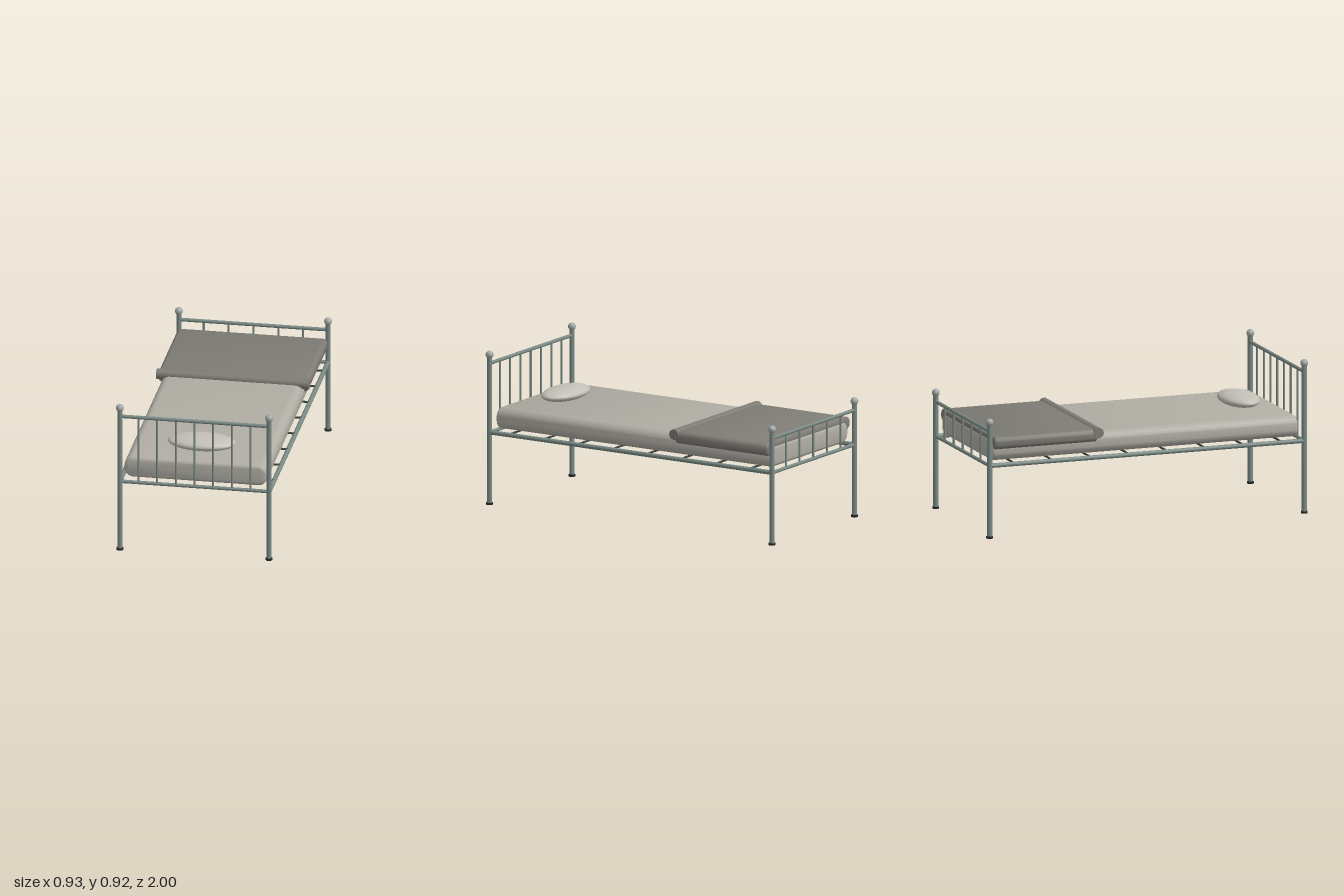
import * as THREE from 'three';
import { toCreasedNormals } from 'three/addons/utils/BufferGeometryUtils.js';

const mat = (color) => new THREE.MeshStandardMaterial({ color });
const steel = mat(0x7a8a85), knobGrey = mat(0xa3a9a6), rubber = mat(0x252525);
const slatDark = mat(0x3a3f3d), ticking = mat(0xb0ada4), wool = mat(0x7e7c75), linen = mat(0xc2bfb7);

const POST_X = 0.44, POST_Z = 0.977, RAIL_Y = 0.43;

export function createModel() {
  const bed = new THREE.Group();
  bed.name = 'bed';

  const add = (parent, name, geometry, material, x = 0, y = 0, z = 0) => {
    const mesh = new THREE.Mesh(geometry, material);
    mesh.name = name;
    mesh.position.set(x, y, z);
    parent.add(mesh);
    return mesh;
  };

  // Round bar centred at (x, y, z), lying along the given axis
  const bar = (parent, name, axis, length, r, x, y, z, material = steel) => {
    const mesh = add(parent, name, new THREE.CylinderGeometry(r, r, length, 16), material, x, y, z);
    if (axis === 'x') mesh.rotation.z = Math.PI / 2;
    if (axis === 'z') mesh.rotation.x = Math.PI / 2;
    return mesh;
  };

  // Soft slab: rounded cross-section run along z, with bevelled ends
  const softSlab = (name, halfW, y0, y1, z0, z1, r, bevel, material) => {
    const w = halfW - bevel, b = y0 + bevel, t = y1 - bevel;
    const s = new THREE.Shape();
    s.moveTo(-w + r, b);
    s.lineTo(w - r, b);
    s.absarc(w - r, b + r, r, -Math.PI / 2, 0);
    s.lineTo(w, t - r);
    s.absarc(w - r, t - r, r, 0, Math.PI / 2);
    s.lineTo(-w + r, t);
    s.absarc(-w + r, t - r, r, Math.PI / 2, Math.PI);
    s.lineTo(-w, b + r);
    s.absarc(-w + r, b + r, r, Math.PI, Math.PI * 1.5);
    const g = new THREE.ExtrudeGeometry(s, {
      depth: z1 - z0 - 2 * bevel, bevelSize: bevel, bevelThickness: bevel,
      bevelSegments: 4, curveSegments: 6,
    });
    return add(bed, name, toCreasedNormals(g, 0.6), material, 0, 0, z0 + bevel);
  };

  // End frame: two posts with knobs and feet, two rails and evenly spaced spindles
  const endFrame = (name, z, knobY, topY, spindles) => {
    const frame = new THREE.Group();
    frame.name = name;
    for (const x of [-POST_X, POST_X]) {
      bar(frame, 'post', 'y', knobY, 0.0155, x, knobY / 2, z);
      add(frame, 'knob', new THREE.SphereGeometry(0.023, 20, 14), knobGrey, x, knobY, z);
      bar(frame, 'foot', 'y', 0.012, 0.02, x, 0.006, z, rubber);
    }
    bar(frame, 'topRail', 'x', 2 * POST_X, 0.0105, 0, topY, z);
    bar(frame, 'lowerRail', 'x', 2 * POST_X, 0.0105, 0, RAIL_Y, z);
    const gap = 2 * POST_X / (spindles + 1);
    for (let i = 1; i <= spindles; i++) {
      bar(frame, 'spindle', 'y', topY - RAIL_Y, 0.006, -POST_X + i * gap, (topY + RAIL_Y) / 2, z);
    }
    bed.add(frame);
  };
  endFrame('headboard', POST_Z, 0.892, 0.84, 7);
  endFrame('footboard', -POST_Z, 0.688, 0.635, 5);

  // Side rails and the cross slats under the mattress
  for (const x of [-POST_X, POST_X]) bar(bed, 'sideRail', 'z', 2 * POST_Z, 0.0135, x, RAIL_Y, 0);
  for (let i = 0; i < 8; i++) bar(bed, 'slat', 'x', 2 * POST_X, 0.006, 0, 0.438, 0.83 - i * 0.237, slatDark);

  // Bedding
  softSlab('mattress', 0.42, 0.447, 0.573, -0.95, 0.95, 0.032, 0.02, ticking);
  softSlab('blanket', 0.445, 0.52, 0.594, -0.945, -0.305, 0.018, 0.012, wool);
  bar(bed, 'blanketFold', 'x', 0.9, 0.031, 0, 0.574, -0.302, wool);

  const pillow = add(bed, 'pillow', new THREE.SphereGeometry(1, 32, 20), linen, 0, 0.613, 0.735);
  pillow.scale.set(0.2, 0.041, 0.11);

  return bed;
}
